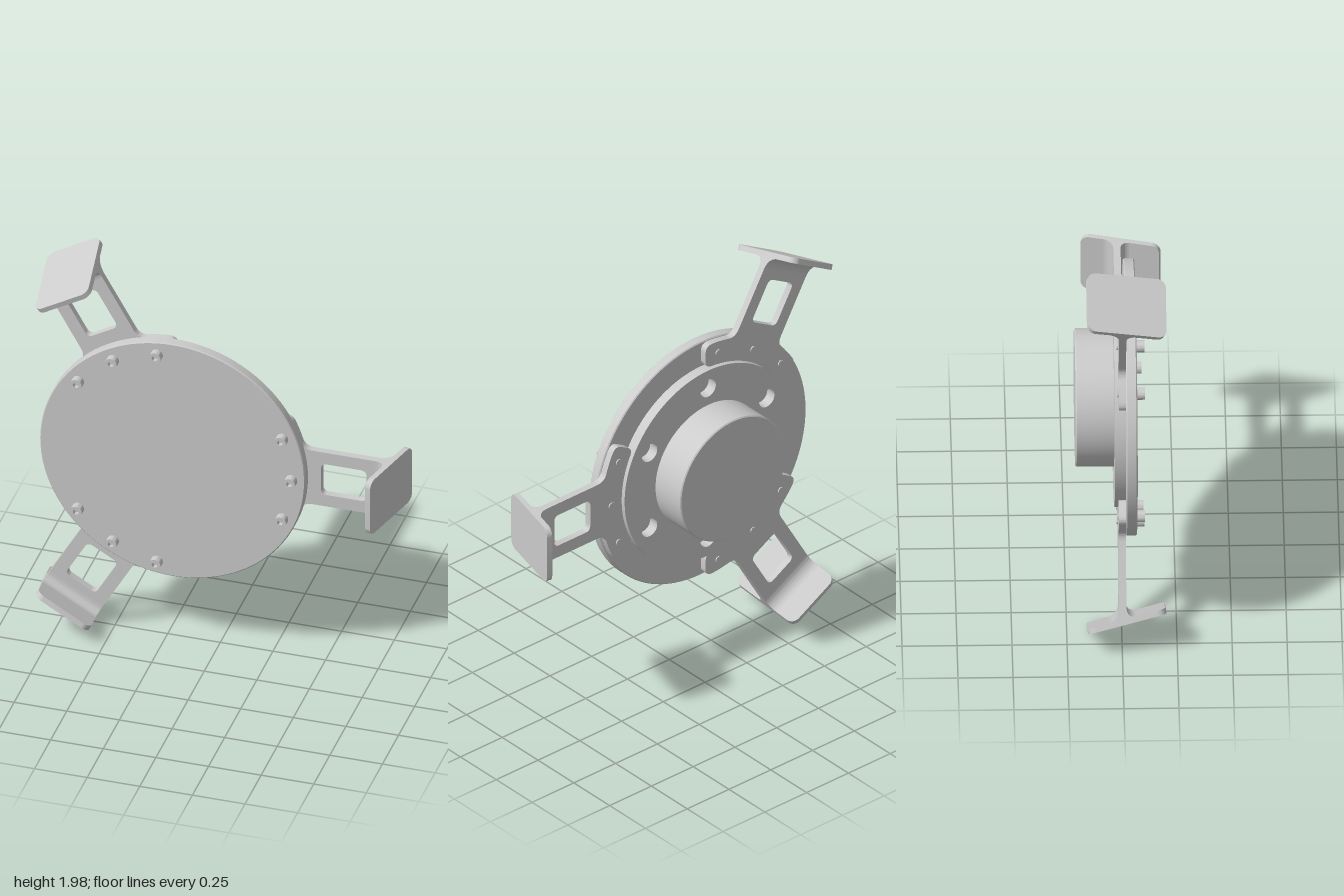
import * as THREE from 'three';
import { toCreasedNormals } from 'three/addons/utils/BufferGeometryUtils.js';

const grey = new THREE.MeshStandardMaterial({ color: 0xcccccc });
const BACK = -0.014, FRONT = 0.019; // bracket sheet faces
const HALF = 0.145;                 // half width of arm and pad

function part(name, geometry) {
  const mesh = new THREE.Mesh(toCreasedNormals(geometry, 0.5), grey);
  mesh.name = name;
  return mesh;
}

function extrude(shape, z0, z1, curveSegments = 16) {
  return new THREE.ExtrudeGeometry(shape, { depth: z1 - z0, bevelEnabled: false, curveSegments }).translate(0, 0, z0);
}

// Turned solid about the z axis, with small chamfers on both rims
function turned(radius, z0, z1, c) {
  const points = [[0, z0], [radius - c, z0], [radius, z0 + c], [radius, z1 - c], [radius - c, z1], [0, z1]];
  return new THREE.LatheGeometry(points.map(p => new THREE.Vector2(...p)), 96).rotateX(Math.PI / 2);
}

function circlePath(x, y, r, sides = 0) {
  const path = new THREE.Path();
  if (!sides) return path.absarc(x, y, r, 0, Math.PI * 2, false);
  const pts = Array.from({ length: sides }, (_, i) => {
    const a = (i / sides) * Math.PI * 2;
    return new THREE.Vector2(x + r * Math.cos(a), y + r * Math.sin(a));
  });
  return path.setFromPoints([...pts, pts[0]]);
}

function roundedRect(target, x0, x1, h, r) {
  target.moveTo(x0 + r, -h);
  target.absarc(x1 - r, -h + r, r, -Math.PI / 2, 0, false);
  target.absarc(x1 - r, h - r, r, 0, Math.PI / 2, false);
  target.absarc(x0 + r, h - r, r, Math.PI / 2, Math.PI, false);
  target.absarc(x0 + r, -h + r, r, Math.PI, Math.PI * 1.5, false);
  return target;
}

// Curved foot with two ears, running into a windowed arm along +x
function bracketShape() {
  const A = Math.PI / 6, inner = 0.503, outer = 0.622, flare = 0.302;
  const P = (r, a) => [r * Math.cos(a), r * Math.sin(a)];
  const s = new THREE.Shape();
  s.moveTo(...P(inner, -A + 0.07));
  s.absarc(0, 0, inner, -A + 0.07, A - 0.07, false);
  s.quadraticCurveTo(...P(inner, A), ...P(0.54, A));
  s.lineTo(...P(0.585, A));
  s.quadraticCurveTo(...P(outer, A), ...P(outer, A - 0.065));
  s.absarc(0, 0, outer, A - 0.065, flare, true);
  s.quadraticCurveTo(0.605, HALF, 0.65, HALF);
  s.lineTo(0.945, HALF);
  s.lineTo(0.945, -HALF);
  s.lineTo(0.65, -HALF);
  s.quadraticCurveTo(0.605, -HALF, ...P(outer, -flare));
  s.absarc(0, 0, outer, -flare, -A + 0.065, true);
  s.quadraticCurveTo(...P(outer, -A), ...P(0.585, -A));
  s.lineTo(...P(0.54, -A));
  s.quadraticCurveTo(...P(inner, -A), ...P(inner, -A + 0.07));
  s.holes.push(roundedRect(new THREE.Path(), 0.691, 0.906, 0.083, 0.025));
  return s;
}

// Web that blends the arm into the pad with a fillet on each side
function filletGeometry() {
  const s = new THREE.Shape();
  s.moveTo(0.945, BACK);
  s.lineTo(0.945, FRONT);
  s.quadraticCurveTo(0.998, FRONT, 0.987, 0.07);
  s.lineTo(0.994, 0.07);
  s.lineTo(1.03, -0.07);
  s.lineTo(1.0224, -0.07);
  s.quadraticCurveTo(1.008, BACK, 0.945, BACK);
  return extrude(s, -HALF, HALF).rotateX(Math.PI / 2);
}

function createBolt(angle) {
  const bolt = new THREE.Group();
  bolt.name = 'bolt';
  const head = new THREE.Shape().absarc(0, 0, 0.028, 0, Math.PI * 2, false);
  head.holes.push(circlePath(0, 0, 0.015, 6));
  bolt.add(part('boltHead', extrude(head, 0.069, 0.106)));
  const shaft = new THREE.CylinderGeometry(0.016, 0.016, 0.105, 20).rotateX(Math.PI / 2);
  bolt.add(part('boltShaft', shaft.translate(0, 0, 0.0325)));
  bolt.position.set(0.565 * Math.cos(angle), 0.565 * Math.sin(angle), 0);
  return bolt;
}

function createArm() {
  const arm = new THREE.Group();
  arm.name = 'arm';
  arm.add(part('bracket', extrude(bracketShape(), BACK, FRONT)));
  arm.add(part('padFillet', filletGeometry()));
  // Tilted pad at the end of the arm
  const pad = extrude(roundedRect(new THREE.Shape(), -0.184, 0.184, HALF, 0.04), -0.013, 0.013);
  pad.rotateY(THREE.MathUtils.degToRad(75.7)).translate(1.012, 0, 0.02);
  arm.add(part('pad', pad));
  for (const i of [-1, 0, 1]) arm.add(createBolt(i * Math.PI / 8));
  return arm;
}

export function createModel() {
  const model = new THREE.Group();
  model.name = 'threeArmHolder';

  model.add(part('frontDisc', turned(0.63, 0.019, 0.07, 0.005)));

  // Rear plate with a ring of six blind holes
  const plate = new THREE.Shape().absarc(0, 0, 0.5, 0, Math.PI * 2, false);
  for (let i = 0; i < 6; i++) {
    const a = Math.PI / 6 + i * Math.PI / 3;
    plate.holes.push(circlePath(0.405 * Math.cos(a), 0.405 * Math.sin(a), 0.046));
  }
  model.add(part('rearPlate', extrude(plate, -0.031, 0.019, 48)));

  model.add(part('hub', turned(0.315, -0.206, -0.02, 0.005)));

  for (let i = 0; i < 3; i++) {
    const arm = createArm();
    arm.rotation.z = i * Math.PI * 2 / 3;
    model.add(arm);
  }
  model.position.set(-0.206, 1, 0);

  const root = new THREE.Group();
  root.name = 'model';
  root.add(model);
  return root;
}
